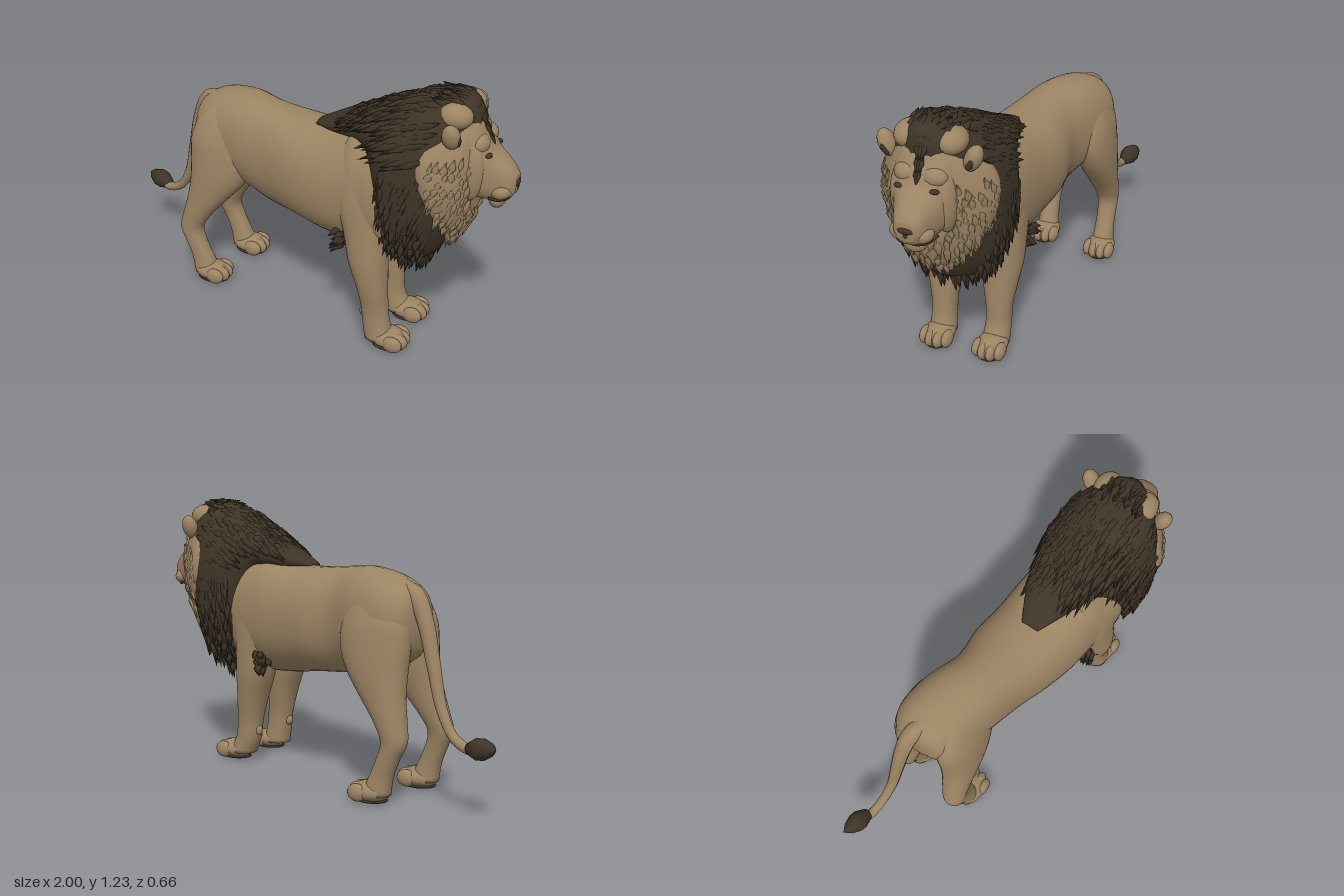
import * as THREE from 'three';
import { mergeGeometries } from 'three/addons/utils/BufferGeometryUtils.js';

const mat = (name, color) => Object.assign(new THREE.MeshStandardMaterial({ color }), { name });

export function createModel() {
  const group = new THREE.Group();
  const tan = mat('tan fur', 0x9c8463), dark = mat('dark mane', 0x3e3427);
  let seed = 7;
  const rnd = () => (seed = (seed * 16807) % 2147483647) / 2147483647;
  const V = (x, y, z) => new THREE.Vector3(x, y, z);
  const add = (name, geo, m) => {
    const mesh = new THREE.Mesh(geo, m);
    mesh.name = name;
    group.add(mesh);
    return mesh;
  };
  const ball = (name, m, x, y, z, rx, ry, rz) => {
    const mesh = add(name, new THREE.SphereGeometry(1, 20, 14), m);
    mesh.position.set(x, y, z);
    mesh.scale.set(rx, ry, rz);
    return mesh;
  };

  // Smooth surface through rings [x, y, z, radius, zRadius] set along x or y
  function sampler(rows, axis, power) {
    const c = new THREE.CatmullRomCurve3(rows.map(r => V(r[0], r[1], r[2])), false, 'catmullrom');
    const s = new THREE.CatmullRomCurve3(rows.map(r => V(r[3], r[4], 0)), false, 'catmullrom');
    const bend = v => Math.sign(v) * Math.abs(v) ** power;
    return (u, t) => {
      const p = c.getPoint(u), r = s.getPoint(u);
      const a = bend(Math.cos(t)), b = bend(Math.sin(t));
      return axis === 'x' ? V(p.x, p.y + r.x * a, p.z + r.y * b)
        : V(p.x + r.x * b, p.y, p.z + r.y * a);
    };
  }
  function loft(name, m, rows, axis = 'x', power = 0.9) {
    const at = sampler(rows, axis, power), n = 36, steps = (rows.length - 1) * 5;
    const pos = [], idx = [];
    for (let i = 0; i <= steps; i++)
      for (let j = 0; j < n; j++) pos.push(...at(i / steps, j / n * Math.PI * 2).toArray());
    for (let i = 0; i < steps; i++)
      for (let j = 0; j < n; j++) {
        const k = (j + 1) % n, a = i * n, b = a + n;
        idx.push(a + j, a + k, b + j, a + k, b + k, b + j);
      }
    const first = rows[0], last = rows[rows.length - 1], e = steps * n;
    pos.push(...first.slice(0, 3), ...last.slice(0, 3));
    for (let j = 0; j < n; j++) {
      const k = (j + 1) % n;
      idx.push(e + n, k, j, e + n + 1, e + j, e + k);
    }
    const g = new THREE.BufferGeometry();
    g.setAttribute('position', new THREE.Float32BufferAttribute(pos, 3));
    g.setIndex(idx);
    g.computeVertexNormals();
    add(name, g, m);
    return at;
  }
  // Rows given as [x, top, bottom, z, half width]
  const span = rows => rows.map(([x, t, b, z, w]) => [x, (t + b) / 2, z, (t - b) / 2, w]);

  // Lock of hair, pointed at both ends
  function lock(p, dir, len, rad) {
    const g = new THREE.LatheGeometry([V(0, -0.4 * len, 0), V(rad, 0, 0), V(0, 0.7 * len, 0)], 6);
    g.applyQuaternion(new THREE.Quaternion().setFromUnitVectors(V(0, 1, 0), dir.normalize()));
    return g.translate(p.x, p.y, p.z);
  }
  // Rows of locks swept over a surface
  function locks(name, m, at, [u0, u1, nu], [t0, t1, nt], len, sweep, lift) {
    const list = [];
    for (let i = 0; i < nu; i++)
      for (let j = 0; j < nt; j++) {
        const u = u0 + (u1 - u0) * (i + rnd() * 0.7) / nu;
        const t = t0 + (t1 - t0) * (j + rnd() * 0.8) / nt;
        const p = at(u, t), out = V(0, Math.cos(t), Math.sin(t));
        const d = sweep.clone().addScaledVector(out, lift);
        p.addScaledVector(out, -0.009);
        list.push(lock(p, d, len * (0.7 + rnd() * 0.6), 0.012 + rnd() * 0.008));
      }
    add(name, mergeGeometries(list), m);
  }

  // Trunk, curving gently from rump to chest
  loft('body', tan, span([
    [-0.575, 0.83, 0.70, -0.12, 0.06], [-0.545, 0.895, 0.61, -0.12, 0.125],
    [-0.45, 0.945, 0.55, -0.115, 0.165], [-0.3, 0.968, 0.525, -0.08, 0.175],
    [-0.15, 0.957, 0.49, -0.035, 0.168], [0, 0.945, 0.475, -0.01, 0.198],
    [0.15, 0.95, 0.452, 0.02, 0.208], [0.3, 0.99, 0.44, 0.04, 0.21],
    [0.45, 1.0, 0.45, 0.065, 0.21], [0.56, 0.95, 0.5, 0.075, 0.17], [0.62, 0.9, 0.6, 0.08, 0.1]]));
  ball('flankFold', tan, -0.235, 0.535, -0.055, 0.06, 0.032, 0.045);

  // Paw with four toes and a dark sole
  function paw(name, x, z) {
    ball(name, tan, x, 0.05, z, 0.088, 0.044, 0.068);
    for (const o of [-0.052, -0.018, 0.018, 0.052])
      ball(name + 'Toe', tan, x + 0.062 - Math.abs(o) * 0.45, 0.047, z + o, 0.046, 0.038, 0.024);
    ball(name + 'Sole', dark, x + 0.005, 0.014, z, 0.08, 0.01, 0.06);
  }

  // Hind legs: rows of [x, y, xRadius, zRadius, blend from paw to hip]
  const hind = [[-0.49, 0.04, 0.062, 0.055, 0], [-0.515, 0.12, 0.052, 0.046, 0],
    [-0.548, 0.2, 0.05, 0.045, 0], [-0.568, 0.27, 0.057, 0.05, 0.1], [-0.535, 0.35, 0.072, 0.06, 0.3],
    [-0.478, 0.45, 0.103, 0.073, 0.55], [-0.428, 0.55, 0.14, 0.086, 0.85], [-0.405, 0.65, 0.163, 0.09, 1.1],
    [-0.405, 0.75, 0.158, 0.085, 1.35], [-0.405, 0.85, 0.115, 0.06, 1.7], [-0.405, 0.92, 0.04, 0.02, 2.1]];
  for (const [side, dx, foot, hip] of [['left', 0, 0.05, 0.012], ['right', 0.045, -0.255, -0.217]]) {
    loft(side + 'HindLeg', tan, hind.map(([x, y, rx, rz, k]) =>
      [x + dx * (1 - Math.min(k, 1)), y, foot + (hip - foot) * k, rx, rz]), 'y');
    paw(side + 'HindPaw', -0.465 + dx, foot);
  }

  // Forelegs with shoulder muscle
  const fore = [[0.465, 0.04, 0.065, 0.06, 0], [0.448, 0.12, 0.06, 0.056, 0], [0.438, 0.2, 0.06, 0.058, 0],
    [0.423, 0.3, 0.068, 0.074, 0], [0.4, 0.42, 0.085, 0.09, 0.3], [0.385, 0.55, 0.098, 0.091, 0.7],
    [0.37, 0.7, 0.12, 0.088, 1], [0.365, 0.85, 0.11, 0.076, 1.5], [0.355, 0.94, 0.085, 0.055, 2.2],
    [0.35, 1.0, 0.035, 0.025, 3]];
  for (const [s, side, foot, top, back] of [[1, 'left', 0.195, 0.18, 0], [-1, 'right', -0.055, -0.07, 0.02]]) {
    loft(side + 'Foreleg', tan, fore.map(([x, y, rx, rz, k]) =>
      [y > 0.1 ? x - back : x, y, k > 1 ? top - s * 0.03 * (k - 1) : foot + (top - foot) * k, rx, rz]), 'y');
    paw(side + 'Forepaw', 0.505, foot);
    ball(side + 'WristPad', tan, 0.392 - back, 0.155, foot, 0.022, 0.026, 0.022);
    // Dark tuft behind each elbow
    const list = [];
    for (let i = 0; i < 18; i++)
      list.push(lock(V(0.255 + rnd() * 0.05, 0.45 + rnd() * 0.09, 0.045 + s * (0.15 + rnd() * 0.05)),
        V(-0.4 - rnd() * 0.4, -0.7 + rnd() * 0.5, s * 0.4), 0.065, 0.018));
    add(side + 'ElbowTuft', mergeGeometries(list), dark);
  }

  // Dark mane from the withers to the crown and down the chest
  const mane = loft('mane', dark, span([
    [0.09, 0.955, 0.935, 0.02, 0.04], [0.2, 1.01, 0.92, 0.02, 0.095], [0.3, 1.055, 0.92, 0.03, 0.135],
    [0.38, 1.1, 0.87, 0.045, 0.17], [0.45, 1.135, 0.6, 0.06, 0.22], [0.5, 1.16, 0.48, 0.07, 0.245],
    [0.57, 1.19, 0.435, 0.075, 0.25], [0.65, 1.215, 0.465, 0.08, 0.241], [0.72, 1.225, 0.56, 0.08, 0.195],
    [0.78, 1.215, 0.75, 0.08, 0.13], [0.825, 1.165, 0.9, 0.08, 0.05]]), 'x', 0.87);
  locks('maneLocks', dark, mane, [0.14, 0.72, 12], [-1.3, 1.3, 15], 0.12, V(-0.8, -0.4, 0), 0.08);
  locks('maneFringe', dark, mane, [0.42, 0.74, 6], [1.4, 4.88, 26], 0.1, V(-0.15, -0.9, 0), 0.1);
  locks('crownLocks', dark, mane, [0.72, 0.88, 4], [-0.5, 0.5, 6], 0.07, V(-0.8, 0.1, 0), 0.22);

  // Tan ruff framing the face, narrowing towards the chest
  const ruff = loft('ruff', tan, span([
    [0.61, 1.12, 0.76, 0.08, 0.225], [0.66, 1.16, 0.67, 0.08, 0.248], [0.71, 1.18, 0.6, 0.08, 0.234],
    [0.76, 1.18, 0.585, 0.08, 0.203], [0.8, 1.165, 0.65, 0.08, 0.162], [0.83, 1.11, 0.74, 0.08, 0.115]]), 'x', 1.04);
  locks('ruffLocks', tan, ruff, [0.25, 0.95, 6], [1.2, 5.08, 22], 0.085, V(-0.25, -0.9, 0), 0.04);

  // Head and muzzle
  const mid = 0.08;
  loft('head', tan, span([
    [0.7, 1.16, 0.8, mid, 0.15], [0.8, 1.145, 0.8, mid, 0.13], [0.845, 1.085, 0.79, mid, 0.116],
    [0.885, 1.015, 0.79, mid, 0.095], [0.93, 0.975, 0.795, mid, 0.075], [0.965, 0.94, 0.81, mid, 0.058],
    [0.985, 0.91, 0.835, mid, 0.038]]), 'x', 0.8);
  ball('chin', tan, 0.908, 0.79, mid, 0.036, 0.043, 0.05);
  ball('nose', dark, 0.971, 0.878, mid, 0.023, 0.017, 0.042);
  ball('noseTip', dark, 0.975, 0.86, mid, 0.014, 0.02, 0.016);
  // Dark forelock running down the brow
  const forelock = [];
  for (const [x, y, r] of [[0.8, 1.175, 0.022], [0.822, 1.14, 0.018], [0.845, 1.09, 0.013], [0.864, 1.05, 0.01]])
    for (const o of [-1, 0, 1])
      forelock.push(lock(V(x, y, mid + o * r * 0.8), V(0.5, -1, -o * 0.2), 0.075, r * 0.8));
  add('forelock', mergeGeometries(forelock), dark);
  for (const s of [-1, 1]) {
    const side = s > 0 ? 'left' : 'right';
    ball(side + 'MuzzlePad', tan, 0.927, 0.846, mid + s * 0.043, 0.046, 0.037, 0.046);
    ball(side + 'Cheek', tan, 0.815, 0.93, mid + s * 0.092, 0.055, 0.13, 0.045);
    ball(side + 'Brow', tan, 0.83, 1.04, mid + s * 0.055, 0.042, 0.042, 0.055);
    ball(side + 'Temple', tan, 0.732, 1.15, mid + s * 0.088, 0.075, 0.054, 0.06);
    ball(side + 'Eye', dark, 0.876, 1.002, mid + s * 0.073, 0.014, 0.009, 0.02);
    ball(side + 'Ear', tan, 0.75, 1.1, mid + s * 0.178, 0.038, 0.058, 0.035).rotation.x = s * 0.4;
    ball(side + 'EarInner', dark, 0.777, 1.09, mid + s * 0.176, 0.013, 0.034, 0.016).rotation.x = s * 0.4;
    const lip = new THREE.CatmullRomCurve3([V(0.965, 0.828, mid),
      V(0.962, 0.814, mid + s * 0.025), V(0.93, 0.811, mid + s * 0.066), V(0.89, 0.825, mid + s * 0.09)]);
    add(side + 'MouthLine', new THREE.TubeGeometry(lip, 12, 0.006, 6), dark);
  }
  const beard = [];
  for (let i = 0; i < 40; i++) {
    const a = (i / 39 - 0.5) * 2;
    beard.push(lock(V(0.82 - Math.abs(a) * 0.05 - rnd() * 0.06, 0.75 + a * a * 0.1 - rnd() * 0.09, mid + a * 0.12),
      V(-0.3, -1, -a * 0.15), 0.12, 0.022));
  }
  add('beard', mergeGeometries(beard), tan);

  // Tapering tail with a dark tuft
  const path = new THREE.CatmullRomCurve3([V(-0.48, 0.89, -0.12), V(-0.56, 0.86, -0.145), V(-0.615, 0.76, -0.16),
    V(-0.665, 0.59, -0.175), V(-0.715, 0.42, -0.19), V(-0.78, 0.32, -0.205), V(-0.86, 0.285, -0.22),
    V(-0.92, 0.3, -0.24)]);
  const tail = new THREE.TubeGeometry(path, 50, 0.042, 12), tp = tail.attributes.position;
  for (let i = 0; i < tp.count; i++) {
    const u = Math.floor(i / 13) / 50, c = path.getPointAt(u);
    const p = V().fromBufferAttribute(tp, i).sub(c).multiplyScalar(1 - 0.5 * Math.min(1, u * 1.3)).add(c);
    tp.setXYZ(i, p.x, p.y, p.z);
  }
  tail.computeVertexNormals();
  add('tail', tail, tan);
  const tuft = new THREE.LatheGeometry([[0, -0.07], [0.024, -0.06], [0.044, -0.015], [0.044, 0.015],
    [0.028, 0.055], [0, 0.085]].map(p => new THREE.Vector2(...p)), 14);
  const tuftMesh = add('tailTuft', tuft, dark);
  tuftMesh.position.set(-0.922, 0.302, -0.245);
  tuftMesh.quaternion.setFromUnitVectors(V(0, 1, 0), V(-0.95, 0.15, -0.25).normalize());

  return group;
}
